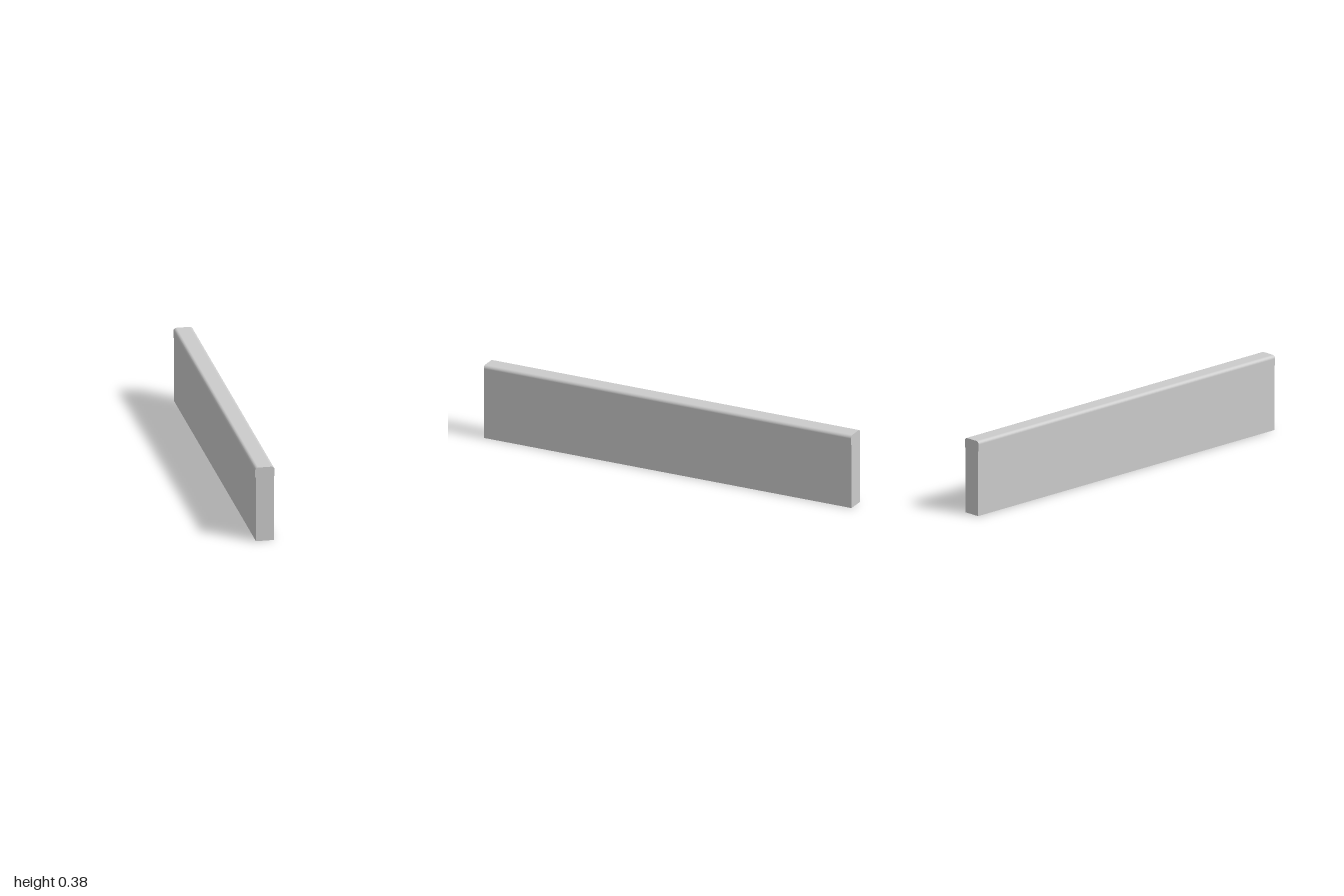
import * as THREE from 'three';

const LENGTH = 2;
const WALL_HALF = 0.044, CAP_HALF = 0.048;
const CAP_BASE = 0.329, TOP = 0.379, RADIUS = 0.016;

export function createModel() {
  const model = new THREE.Group();
  const material = new THREE.MeshStandardMaterial({ color: 0xcccccc });

  // Straight wall slab
  const wall = new THREE.Mesh(new THREE.BoxGeometry(WALL_HALF * 2, CAP_BASE, LENGTH), material);
  wall.name = 'wall';
  wall.position.y = CAP_BASE / 2;
  model.add(wall);

  // Slightly wider coping with rounded upper edges, run along the wall
  const profile = new THREE.Shape();
  profile.moveTo(-CAP_HALF, CAP_BASE);
  profile.lineTo(CAP_HALF, CAP_BASE);
  profile.lineTo(CAP_HALF, TOP - RADIUS);
  profile.absarc(CAP_HALF - RADIUS, TOP - RADIUS, RADIUS, 0, Math.PI / 2);
  profile.lineTo(-CAP_HALF + RADIUS, TOP);
  profile.absarc(-CAP_HALF + RADIUS, TOP - RADIUS, RADIUS, Math.PI / 2, Math.PI);
  profile.closePath();
  const copingGeometry = new THREE.ExtrudeGeometry(profile, {
    depth: LENGTH, bevelEnabled: false, curveSegments: 8,
  });
  copingGeometry.translate(0, 0, -LENGTH / 2);
  const coping = new THREE.Mesh(copingGeometry, material);
  coping.name = 'coping';
  model.add(coping);

  return model;
}
